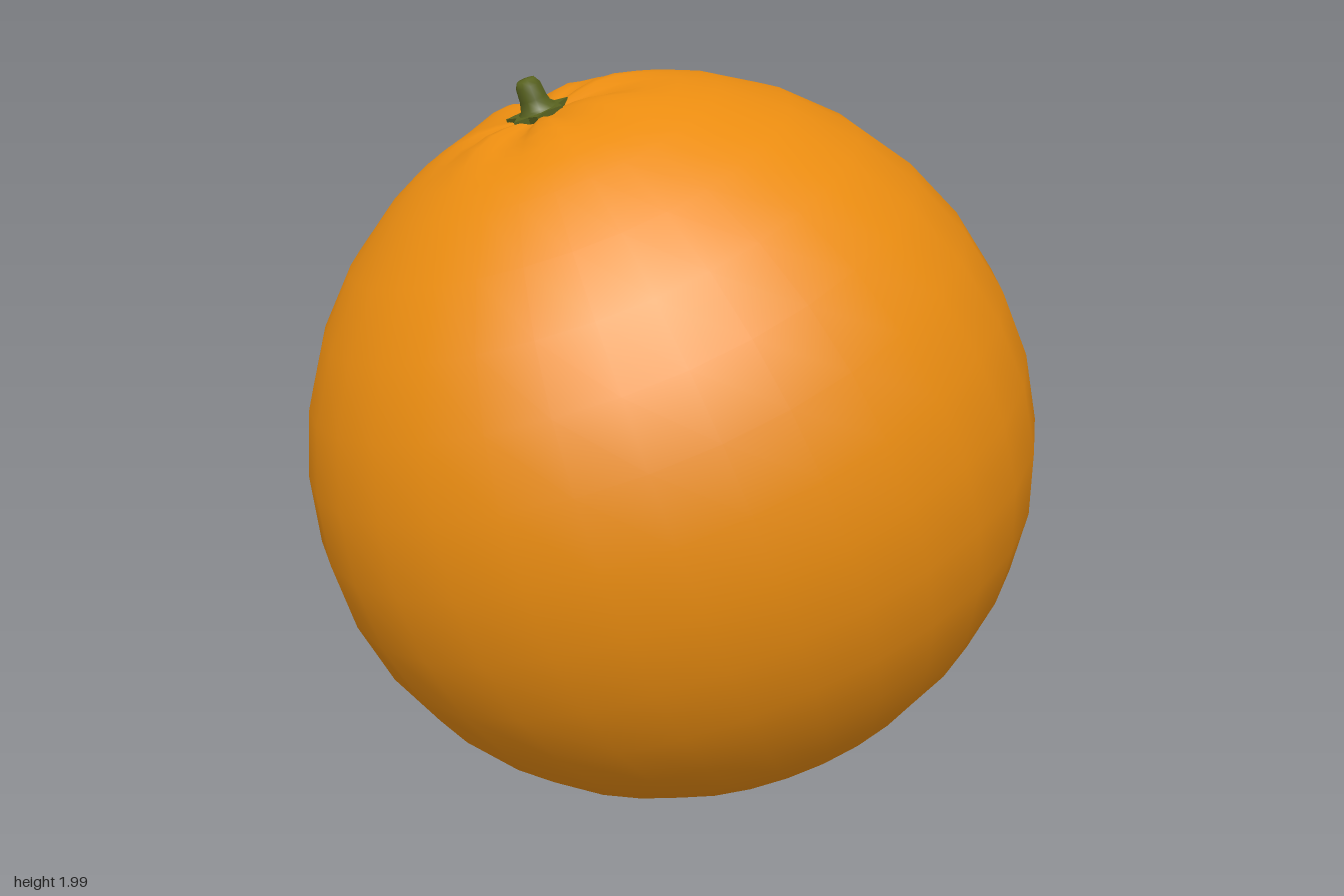
import * as THREE from 'three';

const SEGMENTS = 32;
const TILT = 0.36; // lean of the stem axis toward -x
const CENTRE_Y = 1.005;
const AXIS = new THREE.Vector3(0, 0, 1);

// Distance from the centre to the skin; t is measured from the stem, p around it
function skinRadius(d, t, p) {
  let r = 1 / Math.sqrt((d.x / 0.978) ** 2 + (d.y / 0.995) ** 2 + (d.z / 0.947) ** 2);
  // Slight lopsidedness: fuller at the front, flatter at the back
  r += 0.05 * d.z * d.x * d.x + 0.015 * (2 * d.x * d.z) ** 2;
  // Dimple under the stem, with creases fanning out of it
  r -= 0.035 * Math.exp(-((t / 0.17) ** 2));
  const fan = Math.exp(-(((t - 0.17) / 0.12) ** 2));
  r += 0.011 * fan * (Math.cos(7 * p + 0.6) + 0.4 * Math.cos(4 * p + 1) + 0.3);
  // Pointed nub at the blossom end
  const b = Math.PI - t;
  r += 0.067 * Math.max(0, 1 - b / 0.08) - 0.008 * Math.exp(-(((b - 0.1) / 0.06) ** 2));
  return r;
}

function buildSkin() {
  // Rings sit closer together at the stem and the nub
  const rings = [0.04, 0.08, 0.12, 0.17, 0.23, 0.3, 0.38, 0.48];
  for (let i = 1; i <= 12; i++) rings.push(0.48 + i * 0.19);
  rings.push(2.9, 2.98, 3.03, 3.065, 3.1);

  const positions = [];
  const index = [];
  const addVertex = (t, p) => {
    const d = new THREE.Vector3(Math.sin(t) * Math.cos(p), Math.cos(t), Math.sin(t) * Math.sin(p));
    d.applyAxisAngle(AXIS, TILT);
    const r = skinRadius(d, t, p);
    positions.push(d.x * r, CENTRE_Y + d.y * r, d.z * r);
  };

  addVertex(0, 0);
  for (const t of rings)
    for (let j = 0; j < SEGMENTS; j++) addVertex(t, (j / SEGMENTS) * Math.PI * 2);
  addVertex(Math.PI, 0);

  const at = (i, j) => 1 + i * SEGMENTS + (j % SEGMENTS);
  const last = rings.length - 1;
  const bottom = 1 + rings.length * SEGMENTS;
  for (let j = 0; j < SEGMENTS; j++) {
    index.push(0, at(0, j + 1), at(0, j));
    for (let i = 0; i < last; i++) {
      index.push(at(i, j), at(i, j + 1), at(i + 1, j));
      index.push(at(i, j + 1), at(i + 1, j + 1), at(i + 1, j));
    }
    index.push(at(last, j), at(last, j + 1), bottom);
  }
  const geometry = new THREE.BufferGeometry();
  geometry.setAttribute('position', new THREE.Float32BufferAttribute(positions, 3));
  geometry.setIndex(index);
  geometry.computeVertexNormals();
  return geometry;
}

// Seven-pointed star disc around the foot of the stem
function buildCalyx() {
  const shape = new THREE.Shape();
  for (let i = 0; i < 14; i++) {
    const a = (i / 14) * Math.PI * 2;
    const r = i % 2 ? 0.058 : 0.084 + 0.006 * Math.sin(i * 2.3);
    if (i) shape.lineTo(r * Math.cos(a), r * Math.sin(a));
    else shape.moveTo(r, 0);
  }
  shape.closePath();
  const geometry = new THREE.ExtrudeGeometry(shape, { depth: 0.018, bevelEnabled: false });
  return geometry.rotateX(-Math.PI / 2);
}

export function createModel() {
  const model = new THREE.Group();
  model.name = 'orangeFruit';
  const peel = new THREE.MeshStandardMaterial({ color: 0xea8c10 });
  const green = new THREE.MeshStandardMaterial({ color: 0x58621f });

  const skin = new THREE.Mesh(buildSkin(), peel);
  skin.name = 'peel';
  model.add(skin);

  // Stem and calyx, standing in the dimple along the tilted axis
  const stalk = new THREE.Group();
  stalk.name = 'stemGroup';
  stalk.position.set(-Math.sin(TILT) * 0.957, CENTRE_Y + Math.cos(TILT) * 0.957, 0);
  stalk.rotation.z = TILT;

  const calyx = new THREE.Mesh(buildCalyx(), green);
  calyx.name = 'calyx';
  stalk.add(calyx);

  const profile = [[0.06, 0.012], [0.043, 0.025], [0.036, 0.05], [0.033, 0.085], [0.024, 0.1], [0, 0.103]];
  const stem = new THREE.Mesh(
    new THREE.LatheGeometry(profile.map(([r, y]) => new THREE.Vector2(r, y)), 10), green);
  stem.name = 'stem';
  stalk.add(stem);

  model.add(stalk);
  return model;
}
